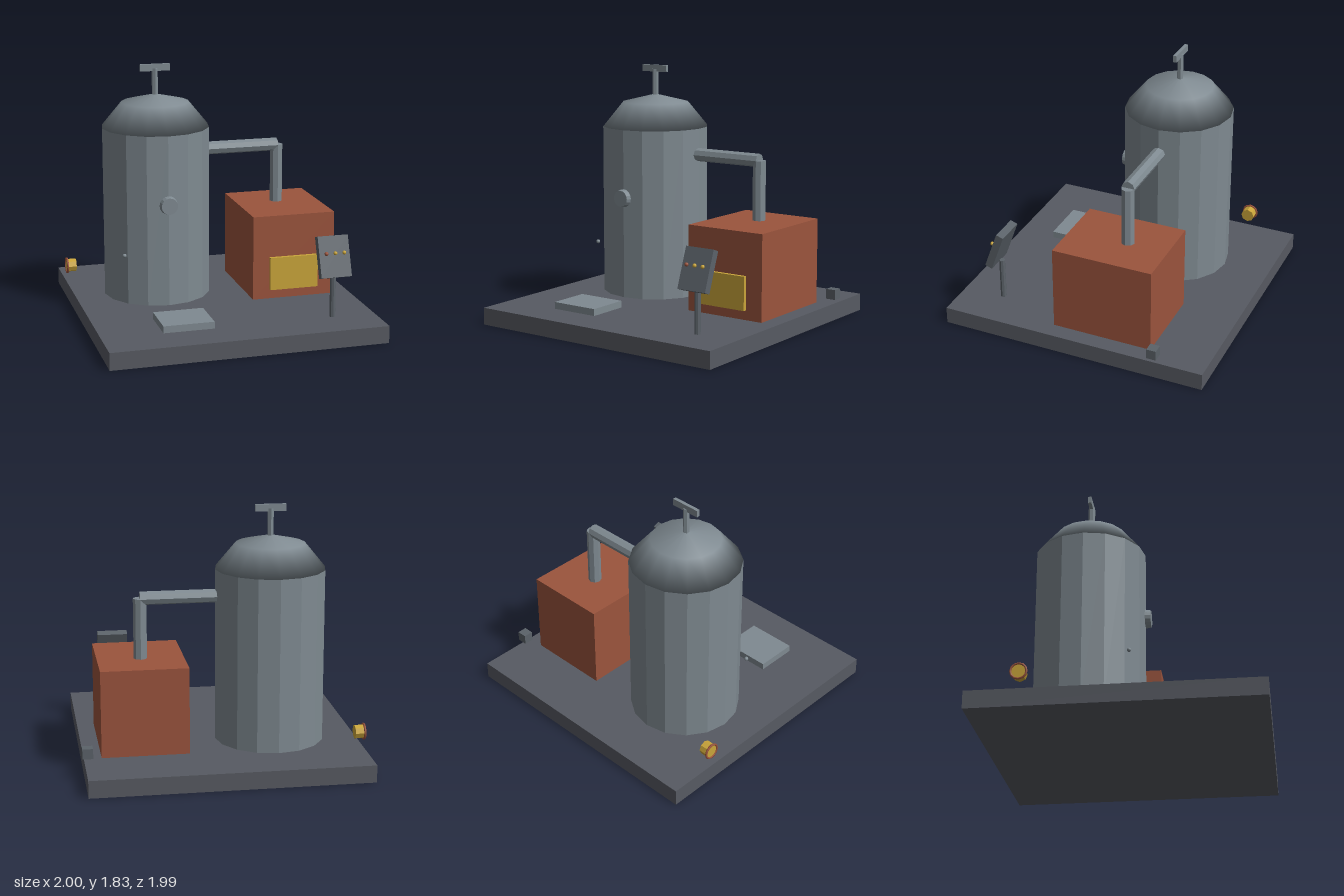
import * as THREE from 'three';

const mat = (name, color) => {
  const m = new THREE.MeshStandardMaterial({ color });
  m.name = name;
  return m;
};

export function createModel() {
  const root = new THREE.Group();
  root.name = 'boilerStation';

  const steel = mat('steel', 0x7f8a91);
  const slate = mat('slate', 0x575a62);
  const gunmetal = mat('gunmetal', 0x5b6269);
  const brick = mat('brick', 0x9b543d);
  const brass = mat('brass', 0xcaa53a);

  const add = (name, geo, material, x, y, z, parent = root) => {
    const mesh = new THREE.Mesh(geo, material);
    mesh.name = name;
    mesh.position.set(x, y, z);
    parent.add(mesh);
    return mesh;
  };
  // box given by its min and max corners
  const box = (name, material, [x0, y0, z0], [x1, y1, z1]) =>
    add(name, new THREE.BoxGeometry(x1 - x0, y1 - y0, z1 - z0), material,
      (x0 + x1) / 2, (y0 + y1) / 2, (z0 + z1) / 2);
  // faceted cylinder along 'x', 'y' or 'z'
  const rod = (name, material, r0, r1, length, sides, axis, x, y, z) => {
    const geo = new THREE.CylinderGeometry(r1, r0, length, sides).toNonIndexed();
    geo.computeVertexNormals();
    if (axis === 'x') geo.rotateZ(-Math.PI / 2);
    if (axis === 'z') geo.rotateX(Math.PI / 2);
    return add(name, geo, material, x, y, z);
  };

  const tx = -0.38, tz = -0.253;

  // Base and floor slab
  box('base', slate, [-1, 0, -0.993], [0.985, 0.125, 0.993]);
  box('floorSlab', steel, [-0.565, 0.125, 0.405], [-0.2, 0.175, 0.715]);

  // Tank with softly shaded dome
  rod('tank', steel, 0.395, 0.395, 1.25, 16, 'y', tx, 0.75, tz);
  const profile = [[0, 1.375], [0.395, 1.375], [0.247, 1.555], [0, 1.615]]
    .map(([r, y]) => new THREE.Vector2(r, y));
  add('dome', new THREE.LatheGeometry(profile, 16), steel, tx, 0, tz);

  // Handle on the dome
  rod('handleStem', steel, 0.023, 0.023, 0.2, 6, 'y', tx, 1.7, tz);
  box('handleBar', steel, [tx - 0.11, 1.78, tz - 0.0125], [tx + 0.11, 1.83, tz + 0.0125]);

  // Gauge on the tank front and a small bead beside it
  rod('gauge', steel, 0.067, 0.06, 0.04, 16, 'z', tx, 0.873, 0.16);
  add('bead', new THREE.SphereGeometry(0.015, 10, 8), steel, -0.69, 0.5, 0.06);

  // Pipe from the tank down to the furnace
  rod('pipeAcross', steel, 0.049, 0.049, 0.57, 8, 'x', 0.265, 1.185, tz);
  rod('pipeDown', steel, 0.048, 0.048, 0.435, 8, 'y', 0.55, 0.9675, tz);

  // Furnace and door
  box('furnace', brick, [0.24, 0.125, -0.56], [0.86, 0.75, 0.185]);
  box('furnaceDoor', brass, [0.365, 0.195, 0.185], [0.73, 0.44, 0.212]);

  // Control console with a tilted panel
  rod('consolePost', gunmetal, 0.022, 0.022, 0.31, 8, 'y', 0.673, 0.28, 0.688);
  const panel = new THREE.Group();
  panel.name = 'controlPanel';
  panel.position.set(0.673, 0.565, 0.688);
  panel.rotation.x = -0.35;
  root.add(panel);
  add('panelBody', new THREE.BoxGeometry(0.225, 0.295, 0.056), gunmetal, 0, 0, 0, panel);
  [brick, brass, brass].forEach((m, i) =>
    add('button', new THREE.SphereGeometry(0.014, 10, 8), m, (i - 1) * 0.066, 0.021, 0.047, panel));

  // Valve at the side edge
  rod('valveBody', brass, 0.05, 0.05, 0.068, 8, 'x', -0.959, 0.25, -0.63);
  const ring = new THREE.TorusGeometry(0.054, 0.008, 6, 12);
  ring.rotateY(Math.PI / 2);
  add('valveRing', ring, brick, -0.992, 0.25, -0.63);

  // Small block at the opposite edge
  box('edgeBlock', gunmetal, [0.925, 0.157, -0.658], [1, 0.23, -0.587]);

  return root;
}
